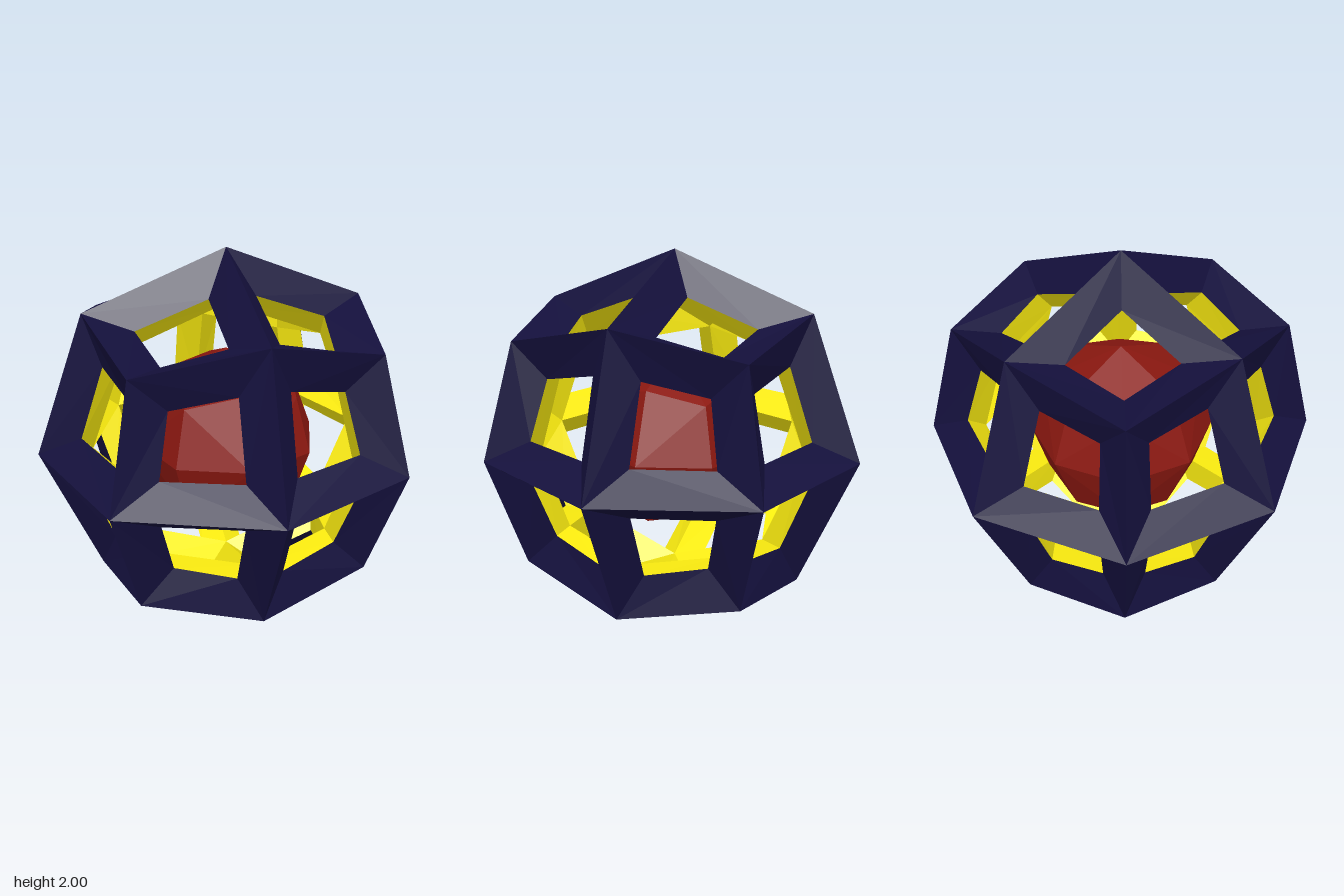
import * as THREE from 'three';

// One kite of the 24-sided solid (around +z, in the +x +y +z octant), counter-clockwise from outside
const KITE = [[0, 0, 1], [0.722, 0, 0.722], [0.595, 0.595, 0.595], [0, 0.722, 0.722]];
// Sunken window inside that kite
const WINDOW = [[0.12, 0.12, 0.78], [0.485, 0.12, 0.65], [0.42, 0.42, 0.57], [0.12, 0.485, 0.65]];
const INNER = 0.72; // inner ridges of the bars
const CORE = 0.486; // solid core

const scaled = (ring, k) => ring.map((p) => p.map((v) => v * k));

// Quads joining two rings of four points
const band = (a, b) => a.map((p, i) => {
  const j = (i + 1) % 4;
  return [p, a[j], b[j], b[i]];
});

// Repeats the quads over 8 octants and 3 axes
function symmetric(name, quads, color) {
  const pos = [];
  for (const sx of [1, -1]) for (const sy of [1, -1]) for (const sz of [1, -1]) {
    const flip = sx * sy * sz < 0;
    for (let turn = 0; turn < 3; turn++) {
      const place = (p) => [
        sx * p[turn], sy * p[(turn + 1) % 3], sz * p[(turn + 2) % 3],
      ];
      for (const quad of quads) {
        const [a, b, c, d] = (flip ? [quad[0], quad[3], quad[2], quad[1]] : quad).map(place);
        // both orders split the quad along its first-to-third diagonal
        pos.push(...a, ...b, ...c, ...a, ...c, ...d);
      }
    }
  }
  const geometry = new THREE.BufferGeometry();
  geometry.setAttribute('position', new THREE.Float32BufferAttribute(pos, 3));
  geometry.computeVertexNormals();
  const mesh = new THREE.Mesh(geometry, new THREE.MeshStandardMaterial({ color, flatShading: true }));
  mesh.name = name;
  mesh.position.y = 1;
  return mesh;
}

export function createModel() {
  const model = new THREE.Group();
  model.name = 'latticeBall';
  // Outer slopes of the bars, from ridge down to window edge
  model.add(symmetric('outerFrame', band(KITE, WINDOW), 0x14103c));
  // Inner slopes, from window edge to inner ridge
  model.add(symmetric('innerFrame', band(WINDOW, scaled(KITE, INNER)), 0xfff010));
  // Faceted core floating at the centre
  model.add(symmetric('core', [scaled(KITE, CORE)], 0x8b1810));
  return model;
}
